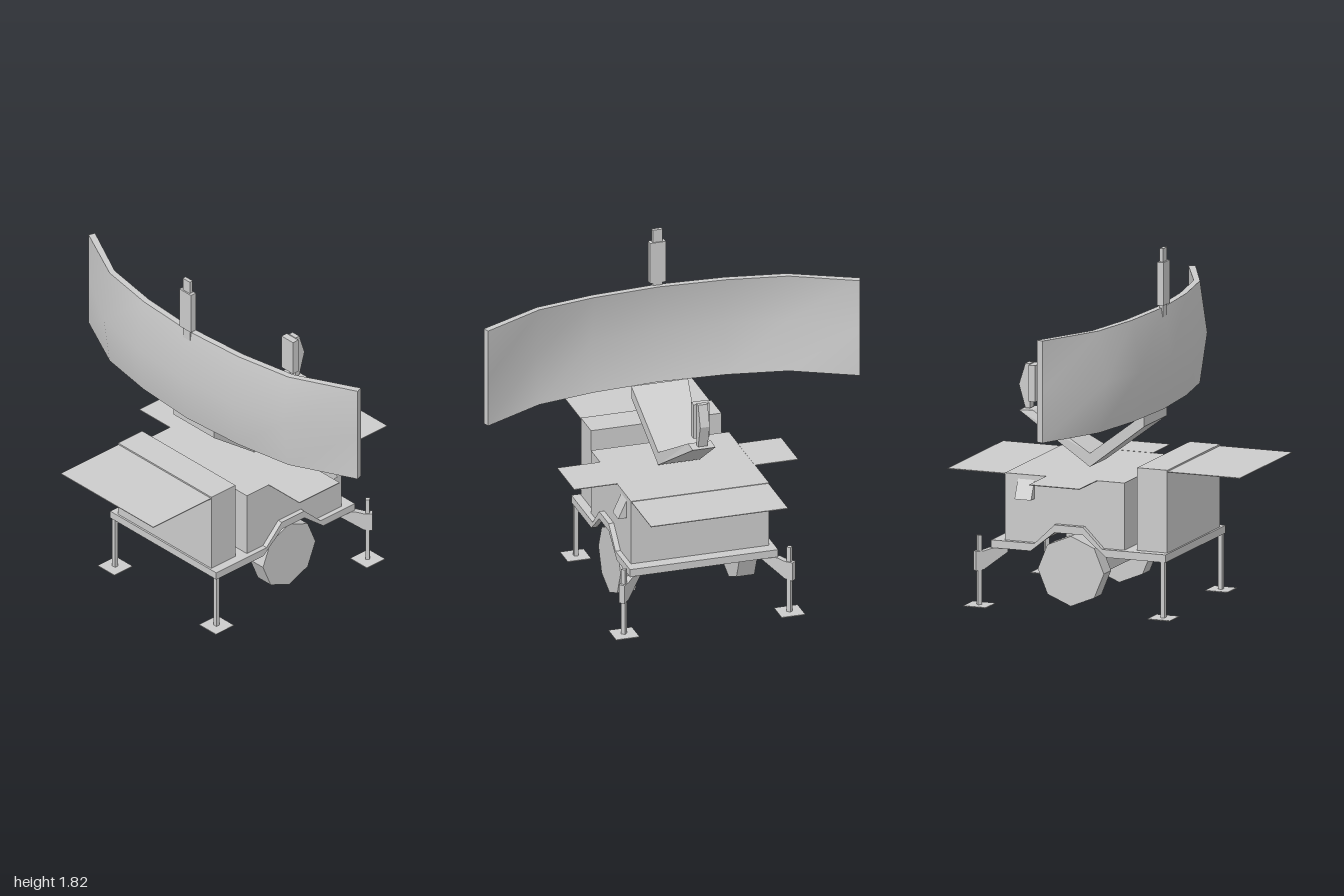
import * as THREE from 'three';

const mat = new THREE.MeshStandardMaterial({ color: 0xcccccc, side: THREE.DoubleSide });
const flat = new THREE.MeshStandardMaterial({ color: 0xcccccc, flatShading: true, side: THREE.DoubleSide });

export function createModel() {
  const root = new THREE.Group();
  const trailer = new THREE.Group();
  trailer.name = 'trailer';
  trailer.position.z = 0.005;
  const radar = new THREE.Group();
  radar.name = 'radarAntenna';
  root.add(trailer, radar);

  function add(parent, name, geo, material = flat) {
    const mesh = new THREE.Mesh(geo, material);
    mesh.name = name;
    parent.add(mesh);
    return mesh;
  }
  // Box from its minimum and maximum corners
  function box(parent, name, x0, x1, y0, y1, z0, z1) {
    const m = add(parent, name, new THREE.BoxGeometry(x1 - x0, y1 - y0, z1 - z0));
    m.position.set((x0 + x1) / 2, (y0 + y1) / 2, (z0 + z1) / 2);
    return m;
  }
  // Side profile in x and y, extruded from z0 to z1
  function profile(parent, name, pts, z0, z1) {
    const shape = new THREE.Shape(pts.map(p => new THREE.Vector2(...p)));
    const geo = new THREE.ExtrudeGeometry(shape, { depth: z1 - z0, bevelEnabled: false });
    return add(parent, name, geo.translate(0, 0, z0));
  }
  // Chassis line arching over the wheels, given a thickness
  function arched(top, t) {
    const upper = [[-0.41, 0], [-0.065, 0], [0.04, 0.105], [0.195, 0.105], [0.305, 0], [0.54, 0]];
    const lower = [[-0.41, 0], [-0.085 + (0.04 - t) * 0.4, 0], [0.04, 0.105], [0.195, 0.105],
      [0.325 - (0.04 - t) * 0.4, 0], [0.54, 0]].reverse();
    return [...upper.map(([x, y]) => [x, y + top]), ...lower.map(([x, y]) => [x, y + top - t])];
  }

  // Chassis frame and floor
  for (const s of [-1, 1]) {
    profile(trailer, 'sideRail', arched(0.33, 0.04), s * 0.377 - 0.015, s * 0.377 + 0.015);
  }
  box(trailer, 'rearCrossbar', -0.41, -0.385, 0.29, 0.33, -0.365, 0.365);
  box(trailer, 'frontCrossbar', 0.515, 0.54, 0.29, 0.33, -0.365, 0.365);
  profile(trailer, 'floor', arched(0.33, 0.012), -0.365, 0.365);

  // Equipment housing with a wheel arch, and the taller cabinet behind it
  profile(trailer, 'housing', [[-0.175, 0.325], [-0.065, 0.325], [0.04, 0.43], [0.195, 0.43],
    [0.305, 0.325], [0.475, 0.325], [0.475, 0.675], [-0.175, 0.675]], -0.365, 0.365);
  box(trailer, 'cabinet', -0.4, -0.235, 0.325, 0.755, -0.345, 0.345);

  // Open flaps
  box(trailer, 'cabinetFlap', -0.795, -0.4, 0.743, 0.747, -0.342, 0.342);
  box(trailer, 'endFlap', 0.475, 0.79, 0.668, 0.672, -0.362, 0.362);
  for (const s of [-1, 1]) {
    const flap = box(trailer, 'sideFlap', -0.025, 0.25, 0.672, 0.676, -0.115, 0.115);
    flap.position.z = s * 0.477;
  }

  // Sloping vent hoods on both sides
  for (const s of [-1, 1]) {
    const geo = new THREE.BoxGeometry(0.09, 0.097, 0.05);
    const p = geo.attributes.position;
    for (let i = 0; i < p.count; i++) {
      if (p.getY(i) > 0 && p.getZ(i) * s > 0) p.setZ(i, -s * 0.02);
    }
    geo.computeVertexNormals();
    add(trailer, 'ventHood', geo).position.set(0.36, 0.602, s * 0.385);
  }

  // Axle block and eight-sided wheels
  box(trailer, 'axleBlock', 0.045, 0.19, 0.145, 0.4, -0.253, 0.253);
  for (const s of [-1, 1]) {
    const wheel = add(trailer, 'wheel', new THREE.CylinderGeometry(0.18, 0.18, 0.095, 8).rotateX(Math.PI / 2));
    wheel.position.set(0.118, 0.197, s * 0.315);
  }

  // Stabiliser legs with foot pads
  function leg(name, x, z, h, angle) {
    const g = new THREE.Group();
    g.name = name;
    g.position.set(x, 0, z);
    box(g, 'post', -0.011, 0.011, 0, h, -0.011, 0.011).rotation.y = angle;
    box(g, 'footPad', -0.062, 0.062, 0, 0.004, -0.062, 0.062);
    trailer.add(g);
    return g;
  }
  for (const s of [-1, 1]) {
    leg('rearLeg', -0.392, s * 0.375, 0.3, 0);
    const front = leg('frontLeg', 0.585, s * 0.438, 0.36, Math.PI / 4);
    // Diagonal outrigger bracket
    const bracket = profile(front, 'outrigger', [[-0.15, 0.29], [-0.15, 0.265], [-0.02, 0.185],
      [0.025, 0.18], [0.025, 0.28], [-0.02, 0.28], [-0.06, 0.29]], -0.016, 0.016);
    bracket.rotation.y = -s * Math.PI / 4;
  }

  // Reflector: a slab bent in plan and bowed towards the back at mid height
  const zs = [0, 0.35, 0.66, 0.995];
  const backX = [-0.283, -0.26, -0.2, 0.005];
  const bow = [0.045, 0.045, 0.04, 0];
  const dish = new THREE.BoxGeometry(2, 2, 6, 1, 2, 6);
  const dp = dish.attributes.position;
  for (let i = 0; i < dp.count; i++) {
    const z = Math.round(dp.getZ(i)), k = Math.abs(z), y = dp.getY(i);
    const isFront = dp.getX(i) > 0;
    const zz = zs[k] - (isFront && k === 3 ? 0.012 : 0);
    dp.setXYZ(i, backX[k] + bow[k] * Math.abs(y) + (isFront ? 0.034 : 0), 1.252 + y * 0.262, Math.sign(z) * zz);
  }
  dish.computeVertexNormals();
  add(radar, 'reflector', dish, mat);

  // Bent, tapering feed arm: three sections of [top, bottom, half width]
  const sections = [
    [[-0.195, 0.99], [-0.195, 0.925], 0.15],
    [[0.118, 0.755], [0.118, 0.685], 0.11],
    [[0.45, 0.94], [0.525, 0.935], 0.06],
  ];
  const arm = new THREE.BoxGeometry(2, 2, 2, 2, 1, 1);
  const ap = arm.attributes.position;
  for (let i = 0; i < ap.count; i++) {
    const [top, bottom, w] = sections[Math.round(ap.getX(i)) + 1];
    const [x, y] = ap.getY(i) > 0 ? top : bottom;
    ap.setXYZ(i, x, y, ap.getZ(i) * w);
  }
  arm.computeVertexNormals();
  add(radar, 'feedArm', arm);

  // Feed horn and its front box
  profile(radar, 'feedHorn', [[0.48, 0.94], [0.505, 0.94], [0.54, 1.06], [0.505, 1.17], [0.48, 1.17]], -0.025, 0.025);
  box(radar, 'feedBox', 0.445, 0.482, 0.978, 1.165, -0.042, 0.042);

  // Upright antenna on the reflector's top edge
  box(radar, 'mastBody', -0.255, -0.221, 1.53, 1.752, -0.042, 0.042);
  box(radar, 'mastCore', -0.247, -0.227, 1.47, 1.82, -0.026, 0.026);

  return root;
}
